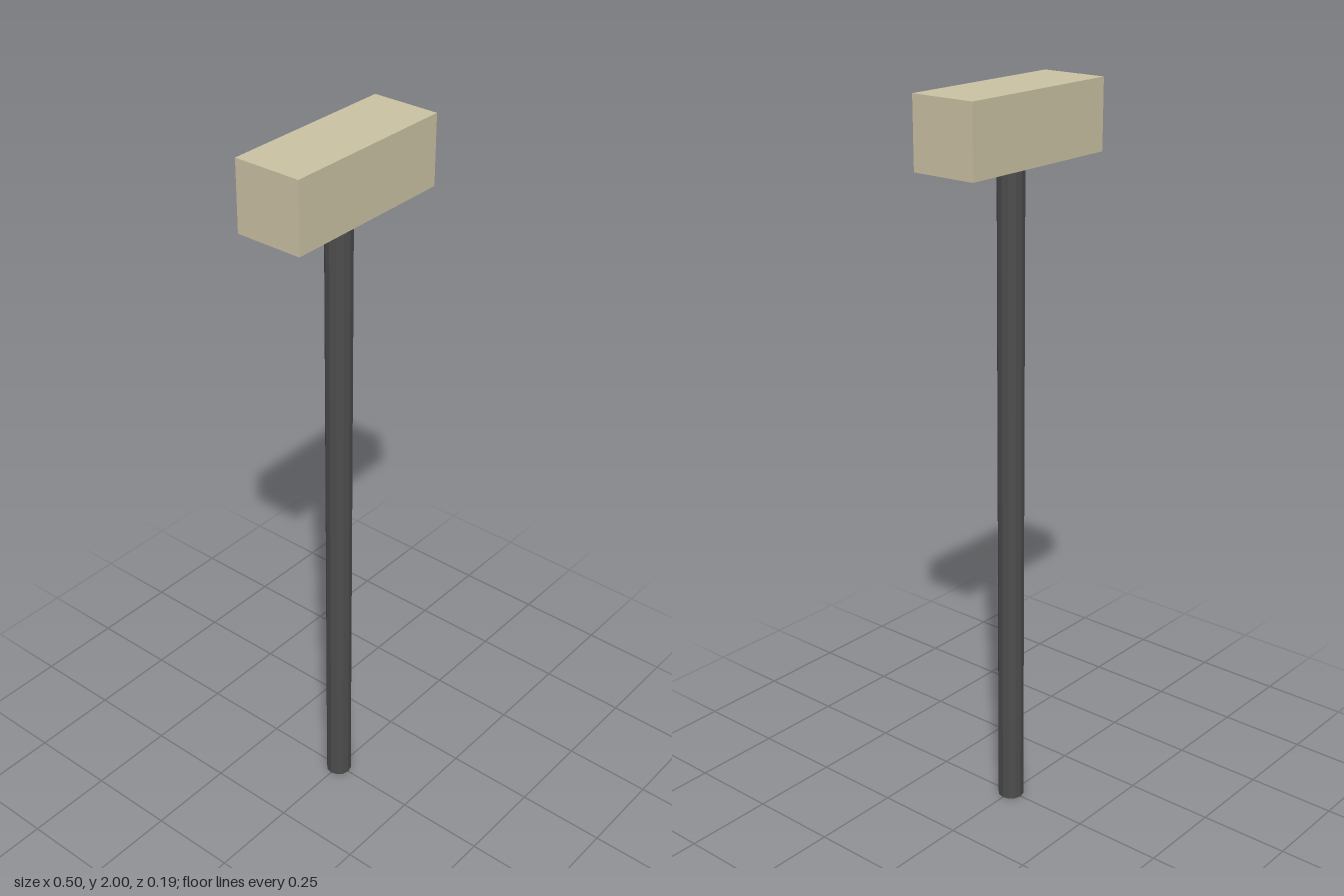
import * as THREE from 'three';

export function createModel() {
  const model = new THREE.Group();
  model.name = 'mallet';

  const paleWood = new THREE.MeshStandardMaterial({ color: 0xcbc2a3 });
  paleWood.name = 'paleWood';
  const darkGrey = new THREE.MeshStandardMaterial({ color: 0x4d4d4d, flatShading: true });
  darkGrey.name = 'darkGrey';

  const headHeight = 0.186;
  const handleHeight = 2 - headHeight;

  // Rectangular block at the top
  const head = new THREE.Mesh(new THREE.BoxGeometry(0.497, headHeight, 0.187), paleWood);
  head.name = 'head';
  head.position.y = 2 - headHeight / 2;

  // Twelve-sided shaft, meeting the underside of the head
  const handle = new THREE.Mesh(new THREE.CylinderGeometry(0.036, 0.036, handleHeight, 12), darkGrey);
  handle.name = 'handle';
  handle.position.y = handleHeight / 2;

  model.add(head, handle);
  return model;
}
